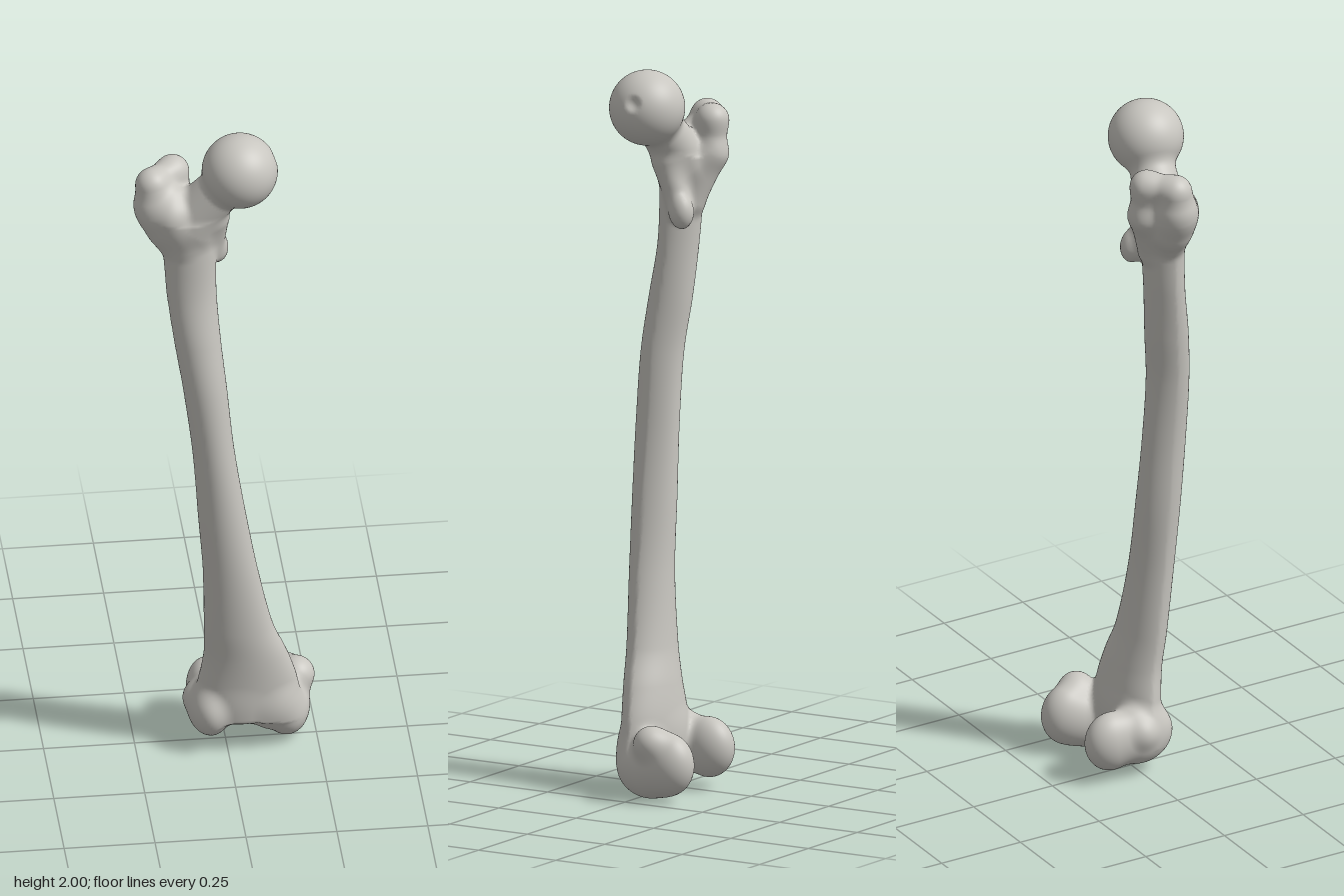
import * as THREE from 'three';

// Shaft cross-sections: y, xMin, xMax, zMin, zMax
const SECTIONS = [
  [0.10, -0.085, 0.20, -0.05, 0.088], [0.20, -0.08, 0.195, -0.05, 0.092],
  [0.30, -0.065, 0.165, -0.035, 0.10], [0.40, -0.065, 0.125, -0.015, 0.11],
  [0.60, -0.07, 0.08, 0.005, 0.125], [0.80, -0.085, 0.045, 0.01, 0.135],
  [1.00, -0.10, 0.015, 0.015, 0.14], [1.20, -0.125, -0.005, 0.015, 0.137],
  [1.35, -0.148, -0.02, 0.0, 0.122], [1.50, -0.167, -0.03, -0.01, 0.10],
  [1.64, -0.178, -0.03, -0.02, 0.095], [1.75, -0.20, -0.03, -0.03, 0.098],
];

// Smooth (Hermite) interpolation of the shaft sections, remembering the last height
let lastY = NaN, lastSection = null;
function sectionAt(y) {
  if (y === lastY) return lastSection;
  const n = SECTIONS.length;
  const yc = Math.min(Math.max(y, SECTIONS[0][0]), SECTIONS[n - 1][0]);
  let i = 0;
  while (i < n - 2 && SECTIONS[i + 1][0] < yc) i++;
  const a = SECTIONS[i], b = SECTIONS[i + 1];
  const p = SECTIONS[Math.max(i - 1, 0)], q = SECTIONS[Math.min(i + 2, n - 1)];
  const h = b[0] - a[0], t = (yc - a[0]) / h, t2 = t * t, t3 = t2 * t;
  lastSection = [1, 2, 3, 4].map((c) => {
    const ma = ((b[c] - p[c]) / (b[0] - p[0])) * h, mb = ((q[c] - a[c]) / (q[0] - a[0])) * h;
    return (2 * t3 - 3 * t2 + 1) * a[c] + (t3 - 2 * t2 + t) * ma + (3 * t2 - 2 * t3) * b[c] + (t3 - t2) * mb;
  });
  lastY = y;
  return lastSection;
}

// Distance rules for the building forms
function ellipsoid(cx, cy, cz, rx, ry = rx, rz = rx) {
  return (x, y, z) => {
    const a = (x - cx) / rx, b = (y - cy) / ry, c = (z - cz) / rz;
    const k0 = Math.hypot(a, b, c), k1 = Math.hypot(a / rx, b / ry, c / rz);
    return (k0 * (k0 - 1)) / Math.max(k1, 1e-6);
  };
}

function taper(ax, ay, az, ra, bx, by, bz, rb) {
  const dx = bx - ax, dy = by - ay, dz = bz - az, len2 = dx * dx + dy * dy + dz * dz;
  return (x, y, z) => {
    const s = ((x - ax) * dx + (y - ay) * dy + (z - az) * dz) / len2;
    const t = Math.min(1, Math.max(0, s));
    return Math.hypot(x - ax - dx * t, y - ay - dy * t, z - az - dz * t) - ra - (rb - ra) * t;
  };
}

function shaft(x, y, z) {
  const [x0, x1, z0, z1] = sectionAt(y);
  const rx = (x1 - x0) / 2, rz = (z1 - z0) / 2;
  const c = (z - (z0 + z1) / 2) / rz;
  // the section narrows toward a ridge at the back
  const a = ((x - (x0 + x1) / 2) / rx) * (1 + 0.22 * Math.min(1, Math.max(0, -c)));
  const k0 = Math.hypot(a, c), k1 = Math.hypot(a / rx, c / rz);
  return Math.max((k0 * (k0 - 1)) / Math.max(k1, 1e-6), y - 1.73, 0.1 - y);
}

// Parts: name, blend width, forms
const PARTS = [
  ['shaft', 0.03, [shaft]],
  ['neck', 0.04, [taper(0.01, 1.87, 0.062, 0.058, -0.1, 1.73, 0.035, 0.072)]],
  ['greaterTrochanter', 0.025, [
    ellipsoid(-0.16, 1.74, 0.03, 0.07, 0.1, 0.07),
    taper(-0.2, 1.775, 0.025, 0.053, -0.145, 1.66, 0.035, 0.04),
    taper(-0.155, 1.76, 0.065, 0.045, -0.12, 1.66, 0.05, 0.04),
    taper(-0.202, 1.84, 0.02, 0.04, -0.142, 1.842, -0.035, 0.04),
    taper(-0.205, 1.835, 0.02, 0.04, -0.19, 1.76, 0.03, 0.055),
  ]],
  ['trochantericCrest', 0.025, [
    taper(-0.142, 1.84, -0.035, 0.04, -0.135, 1.75, -0.036, 0.042),
    taper(-0.135, 1.75, -0.036, 0.042, -0.1, 1.62, 0.005, 0.036),
  ]],
  ['lesserTrochanter', 0.025, [
    ellipsoid(-0.022, 1.6, -0.012, 0.03, 0.045, 0.031),
    taper(-0.035, 1.73, 0.04, 0.04, -0.035, 1.6, 0.0, 0.028),
  ]],
  ['head', 0.018, [ellipsoid(0.032, 1.895, 0.066, 0.104)]],
  ['kneeGroove', 0.03, [ellipsoid(0.04, 0.15, 0.015, 0.09, 0.09, 0.064)]],
  ['medialCondyle', 0.022, [
    ellipsoid(0.18, 0.105, -0.092, 0.062, 0.088, 0.079),
    ellipsoid(0.167, 0.088, -0.03, 0.068, 0.086, 0.1),
    ellipsoid(0.125, 0.13, 0.022, 0.075, 0.085, 0.066),
    ellipsoid(0.2, 0.16, -0.055, 0.051),
  ]],
  ['lateralCondyle', 0.022, [
    ellipsoid(-0.04, 0.115, -0.087, 0.058, 0.084, 0.077),
    ellipsoid(-0.044, 0.12, 0.0, 0.064, 0.088, 0.098),
    ellipsoid(-0.078, 0.135, -0.01, 0.036),
  ]],
];
const headPit = ellipsoid(0.142, 1.928, 0.048, 0.022);

function smoothMin(a, b, k) {
  const h = Math.max(k - Math.abs(a - b), 0) / k;
  return Math.min(a, b) - (h * h * k) / 4;
}

// Blended surface of the whole bone: negative inside
function field(x, y, z) {
  let d = 1;
  for (const [, k, forms] of PARTS) for (const f of forms) d = smoothMin(d, f(x, y, z), k);
  return -smoothMin(-d, headPit(x, y, z), 0.012);
}

function nearestPart(x, y, z) {
  let best = 0, min = Infinity;
  PARTS.forEach(([, , forms], i) => forms.forEach((f) => {
    const d = f(x, y, z);
    if (d < min) { min = d; best = i; }
  }));
  return best;
}

function gradient(x, y, z, e = 0.003) {
  const g = new THREE.Vector3(
    field(x + e, y, z) - field(x - e, y, z),
    field(x, y + e, z) - field(x, y - e, z),
    field(x, y, z + e) - field(x, y, z - e));
  return g.divideScalar(2 * e);
}

// Wrap a quad skin around the field; returns positions, normals and triangles per part
function buildSkin() {
  const h = 0.008, origin = [-0.284, -0.03, -0.205], n = [72, 259, 52];
  const stride = [1, n[0], n[0] * n[1]];
  const values = new Float32Array(n[0] * n[1] * n[2]);
  const each = (fn) => {
    for (let j = 1; j < n[1] - 1; j++) for (let k = 1; k < n[2] - 1; k++) for (let i = 1; i < n[0] - 1; i++)
      fn(i, j, k, i + j * stride[1] + k * stride[2]);
  };
  values.fill(1);
  each((i, j, k, id) => { values[id] = field(origin[0] + i * h, origin[1] + j * h, origin[2] + k * h); });

  // one vertex in every cell the surface crosses
  const vertexOf = new Int32Array(values.length).fill(-1);
  const positions = [], normals = [];
  const corner = (c) => (c & 1) * stride[0] + ((c >> 1) & 1) * stride[1] + ((c >> 2) & 1) * stride[2];
  each((i, j, k, id) => {
    const sum = [0, 0, 0];
    let count = 0;
    for (let c = 0; c < 8; c++) for (let axis = 0; axis < 3; axis++) {
      if (c & (1 << axis)) continue;
      const a = values[id + corner(c)], b = values[id + corner(c) + stride[axis]];
      if (a < 0 === b < 0) continue;
      for (let m = 0; m < 3; m++) sum[m] += m === axis ? a / (a - b) : (c >> m) & 1;
      count++;
    }
    if (!count) return;
    const p = new THREE.Vector3(...[i, j, k].map((g, m) => origin[m] + (g + sum[m] / count) * h));
    const g = gradient(p.x, p.y, p.z);
    const step = -field(p.x, p.y, p.z) / Math.max(g.lengthSq(), 0.2);
    p.addScaledVector(g, THREE.MathUtils.clamp(step, -h / 2, h / 2));
    vertexOf[id] = positions.length / 3;
    positions.push(p.x, p.y, p.z);
    g.normalize();
    normals.push(g.x, g.y, g.z);
  });

  // one quad across every grid edge the surface crosses
  const triangles = PARTS.map(() => []);
  each((i, j, k, id) => {
    for (let axis = 0; axis < 3; axis++) {
      const inside = values[id] < 0;
      if (inside === values[id + stride[axis]] < 0) continue;
      const u = stride[(axis + 1) % 3], v = stride[(axis + 2) % 3];
      const q = [id - u - v, id - v, id, id - u].map((c) => vertexOf[c]);
      if (q.includes(-1)) continue;
      if (!inside) q.reverse();
      const mid = [0, 1, 2].map((m) => q.reduce((s, w) => s + positions[w * 3 + m], 0) / 4);
      triangles[nearestPart(...mid)].push(q[0], q[1], q[2], q[0], q[2], q[3]);
    }
  });
  return { positions, normals, triangles };
}

export function createModel() {
  const model = new THREE.Group();
  model.name = 'thighBone';
  const bone = new THREE.MeshStandardMaterial({ color: 0xc8c6c0 });
  bone.name = 'bone';
  const { positions, normals, triangles } = buildSkin();
  PARTS.forEach(([name], i) => {
    if (!triangles[i].length) return;
    const shared = new THREE.BufferGeometry();
    shared.setAttribute('position', new THREE.Float32BufferAttribute(positions, 3));
    shared.setAttribute('normal', new THREE.Float32BufferAttribute(normals, 3));
    shared.setIndex(triangles[i]);
    const mesh = new THREE.Mesh(shared.toNonIndexed(), bone);
    mesh.name = name;
    model.add(mesh);
  });
  return model;
}
